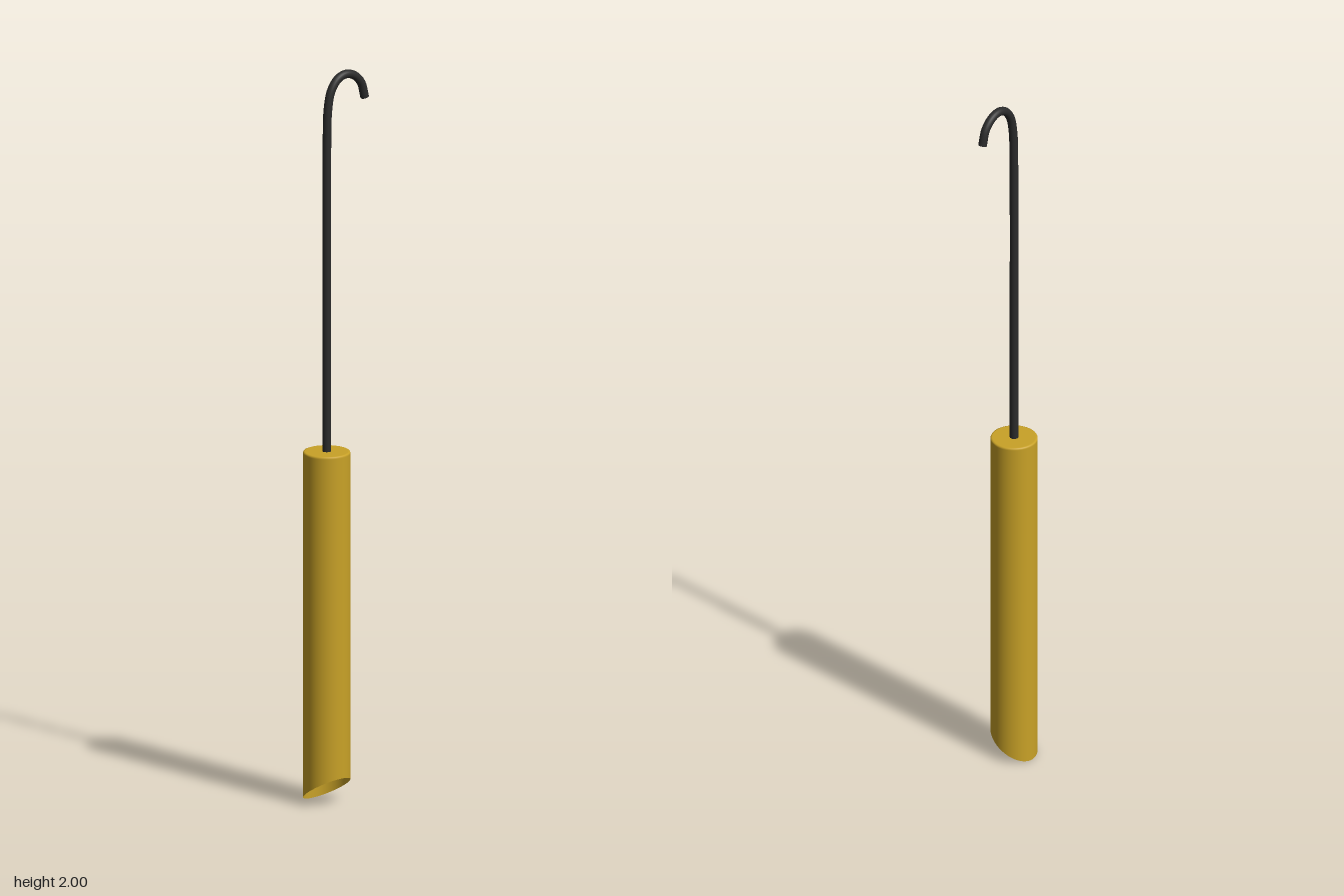
import * as THREE from 'three';

const R = 0.0625;      // tube radius
const AXIS_Z = 0.037;  // tube axis offset
const TOP = 0.965;
const ROD = 0.0115;

export function createModel() {
  const model = new THREE.Group();
  const gold = new THREE.MeshStandardMaterial({ color: 0xc9a227, side: THREE.DoubleSide });
  const dark = new THREE.MeshStandardMaterial({ color: 0x2b2b2b });

  // Hollow tube: closed, slightly eased top and an open, slanted bottom
  const profile = [
    [R, 0], [R, TOP - 0.006], [R, TOP - 0.004], [R - 0.001, TOP - 0.001],
    [R - 0.004, TOP], [R - 0.006, TOP], [0, TOP],
  ].map(([r, y]) => new THREE.Vector2(r, y));
  const tubeGeo = new THREE.LatheGeometry(profile, 64);
  const pos = tubeGeo.attributes.position;
  for (let i = 0; i < pos.count; i++) {
    if (pos.getY(i) < 0.001) pos.setY(i, 0.04 * (1 + pos.getX(i) / R));
  }
  const tube = new THREE.Mesh(tubeGeo, gold);
  tube.name = 'slantCutTube';
  tube.position.z = AXIS_Z;
  model.add(tube);

  // Straight rod bending back into a hook
  const path = new THREE.CatmullRomCurve3([
    [0.955, 0.037], [1.3, 0.037], [1.7, 0.037], [1.82, 0.036], [1.9, 0.033], [1.95, 0.022],
    [1.979, 0], [1.9885, -0.027], [1.98, -0.056], [1.956, -0.079], [1.915, -0.091],
  ].map(([y, z]) => new THREE.Vector3(0, y, z)));
  const rod = new THREE.Mesh(new THREE.TubeGeometry(path, 160, ROD, 20), dark);
  rod.name = 'hookRod';
  model.add(rod);

  // Flat end of the hook
  const tip = new THREE.Mesh(new THREE.CircleGeometry(ROD, 20), dark);
  tip.name = 'hookTip';
  tip.position.copy(path.getPointAt(1));
  tip.lookAt(tip.position.clone().add(path.getTangentAt(1)));
  model.add(tip);

  return model;
}
